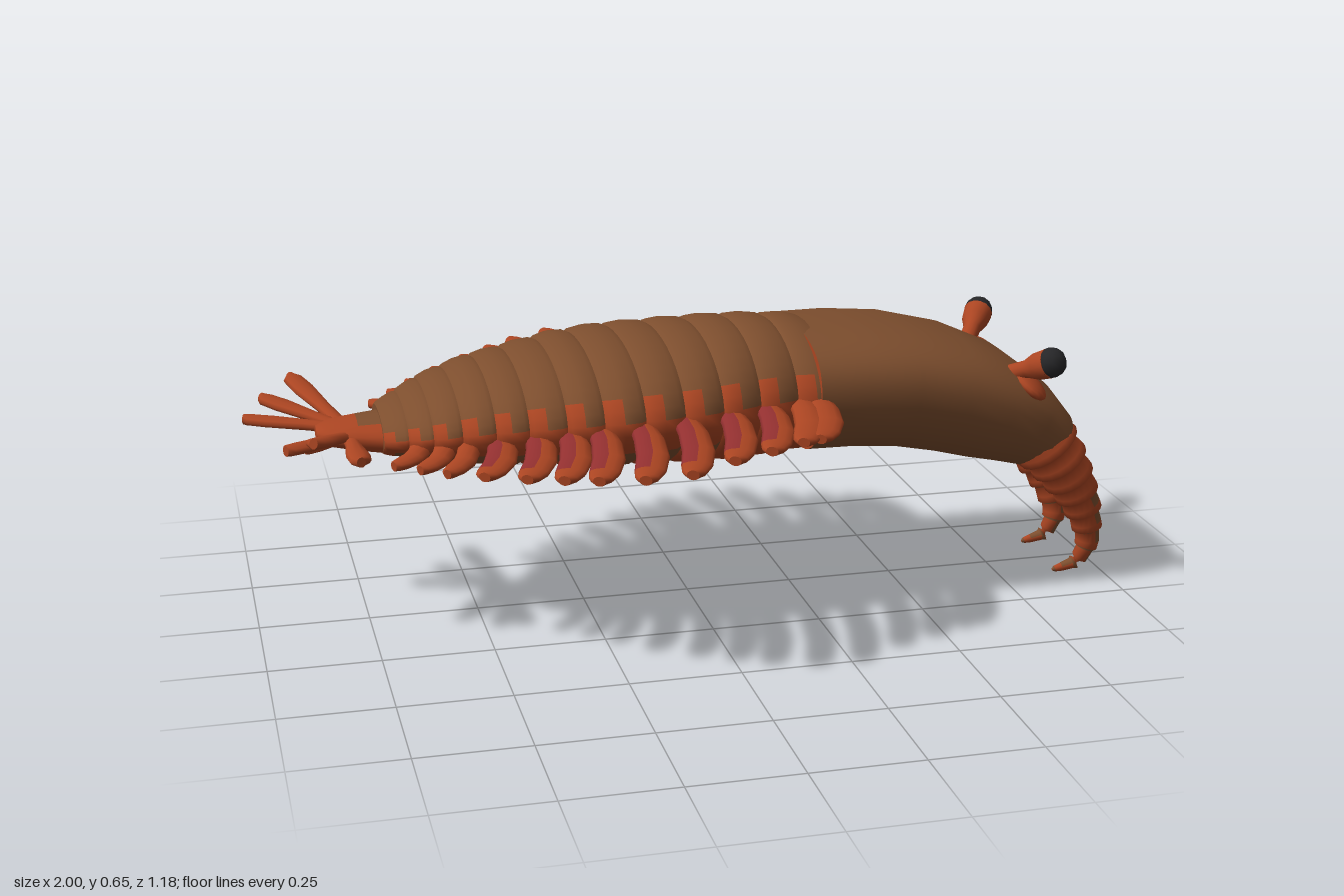
import * as THREE from 'three';

const material = (name, color) => {
  const m = new THREE.MeshStandardMaterial({ color });
  m.name = name;
  return m;
};
const brown = material('shell brown', 0x7d4e2e);
const rust = material('rust orange', 0xab4522);
const crimson = material('gill crimson', 0x933030);
const black = material('eye black', 0x262628);
const V = (x, y, z) => new THREE.Vector3(x, y, z);

// Capped loft through sections { p, hw, hh, f? }; pick(i, t) chooses the material of each strip.
function loft(name, mats, secs, { n = 24, exp = 2, taper = 0, pick = () => 0, up = V(0, 1, 0) } = {}) {
  const pos = [], lists = mats.map(() => []);
  const last = secs.length - 1;
  const pw = (v) => Math.sign(v) * Math.pow(Math.abs(v), 2 / exp);
  secs.forEach((s, i) => {
    const f = s.f ? s.f.clone() : secs[Math.min(i + 1, last)].p.clone().sub(secs[Math.max(i - 1, 0)].p);
    f.normalize();
    const side = f.clone().cross(up).normalize();
    const u = side.clone().cross(f);
    for (let j = 0; j < n; j++) {
      const t = (j / n) * Math.PI * 2, c = pw(Math.cos(t)), h = pw(Math.sin(t));
      const narrow = h < 0 ? 1 + taper * h : 1;
      const q = s.p.clone().addScaledVector(side, c * s.hw * narrow).addScaledVector(u, h * s.hh);
      pos.push(q.x, q.y, q.z);
    }
  });
  for (let i = 0; i < last; i++) {
    for (let j = 0; j < n; j++) {
      const k = (j + 1) % n, a = i * n + j, b = i * n + k, c = a + n, d = b + n;
      lists[pick(i, ((j + 0.5) / n) * Math.PI * 2)].push(a, c, b, b, c, d);
    }
  }
  // End caps with their own vertices keep the rims sharp
  for (const [i, flip] of [[0, false], [last, true]]) {
    const base = pos.length / 3;
    pos.push(...pos.slice(i * n * 3, (i + 1) * n * 3), secs[i].p.x, secs[i].p.y, secs[i].p.z);
    for (let j = 0; j < n; j++) {
      const a = base + j, b = base + ((j + 1) % n);
      lists[0].push(base + n, flip ? b : a, flip ? a : b);
    }
  }
  const g = new THREE.BufferGeometry();
  g.setAttribute('position', new THREE.Float32BufferAttribute(pos, 3));
  g.setIndex(lists.flat());
  let start = 0;
  lists.forEach((l, m) => { g.addGroup(start, l.length, m); start += l.length; });
  g.computeVertexNormals();
  const mesh = new THREE.Mesh(g, mats);
  mesh.name = name;
  return mesh;
}

// Linear lookup in rows [x, a, b, ...] sorted by x
function sample(rows, x) {
  let i = 0;
  while (i < rows.length - 2 && x > rows[i + 1][0]) i++;
  const [a, b] = [rows[i], rows[i + 1]];
  const k = THREE.MathUtils.clamp((x - a[0]) / (b[0] - a[0]), 0, 1);
  return a.slice(1).map((v, m) => THREE.MathUtils.lerp(v, b[m + 1], k));
}

// x, half width, bottom, top of the trunk
const TRUNK = [
  [-0.72, 0.12, 0.41, 0.5], [-0.6, 0.215, 0.395, 0.555], [-0.5, 0.25, 0.38, 0.59], [-0.3, 0.3, 0.362, 0.63],
  [-0.18, 0.315, 0.355, 0.643], [0, 0.295, 0.348, 0.652], [0.1, 0.27, 0.345, 0.657], [0.2, 0.25, 0.35, 0.655], [0.3, 0.25, 0.362, 0.645],
];
// x, height of the flap line
const FLAP_LINE = [[-0.7, 0.45], [-0.45, 0.478], [-0.2, 0.503], [0.28, 0.517]];

export function createModel() {
  const model = new THREE.Group();

  // Overlapping trunk segments with rust flanks and lower rims
  const cuts = [0.29, 0.2, 0.11, 0.02, -0.07, -0.16, -0.25, -0.33, -0.41, -0.48, -0.55, -0.61, -0.66, -0.71];
  const flank = (i, t) => {
    const h = Math.sin(t);
    return (h < 0.25 && h > -0.4) || (i < 2 && h < 0.5 && h > -0.85) ? 1 : 0;
  };
  for (let i = 0; i < cuts.length - 1; i++) {
    const x0 = cuts[i + 1], x1 = cuts[i];
    const secs = [[0, 0.95], [0.1, 1], [0.45, 1.02], [0.85, 1], [1.08, 0.93]].map(([k, g]) => {
      const x = x0 + (x1 - x0) * k;
      const [hw, lo, hi] = sample(TRUNK, x);
      return { p: V(x, (lo + hi) / 2, -0.012), hw: hw * g, hh: ((hi - lo) / 2) * g, f: V(1, 0, 0) };
    });
    model.add(loft('trunkSegment', [brown, rust], secs, { n: 36, exp: 2.1, taper: 0.22, pick: flank }));
  }

  // Smooth head shield bending down to a rust mouth: x, y, half width, half height, pitch
  const head = [
    [0.25, 0.505, 0.245, 0.139, 0], [0.36, 0.505, 0.25, 0.139, 0.03], [0.48, 0.495, 0.247, 0.139, 0.14],
    [0.6, 0.468, 0.242, 0.137, 0.32], [0.7, 0.431, 0.235, 0.13, 0.5], [0.78, 0.39, 0.22, 0.113, 0.67], [0.84, 0.348, 0.195, 0.09, 0.79],
  ].map(([x, y, hw, hh, a]) => ({ p: V(x, y, 0), hw, hh, f: V(Math.cos(a), -Math.sin(a), 0) }));
  model.add(loft('headShield', [rust, brown], head, { n: 40, exp: 3, taper: 0.18, pick: () => 1 }));

  // Swimming flaps, swept back at the tip: root x and reach
  const flaps = [
    [0.25, 0.445], [0.21, 0.455], [0.13, 0.49], [0.04, 0.525], [-0.065, 0.583], [-0.165, 0.585], [-0.255, 0.55],
    [-0.32, 0.51], [-0.39, 0.465], [-0.47, 0.405], [-0.54, 0.345], [-0.59, 0.29], [-0.64, 0.235],
  ];
  for (const s of [1, -1]) {
    flaps.forEach(([x, reach], i) => {
      const [hw] = sample(TRUNK, x), [y] = sample(FLAP_LINE, x);
      const root = hw * 0.8;
      const w = i > 9 ? 0.025 : 0.034;
      const secs = [[0, 0.8], [0.3, 1], [0.6, 1.05], [0.85, 0.98], [0.96, 0.75], [1, 0.4]].map(([k, g]) => ({
        p: V(x - 0.065 * k ** 2.4, y - 0.008 * k, s * (root + (reach - root) * k)),
        hw: w * g, hh: 0.018 * (1 - 0.4 * k),
      }));
      const gill = i > 1 && i < 10;
      model.add(loft('swimmingFlap', [rust, crimson], secs, {
        n: 12, pick: (k, t) => (gill && k < 3 && Math.cos(t) * s > 0.1 ? 1 : 0),
      }));
    });
  }

  // Tail stub and fan of narrow blades
  model.add(loft('tailStub', [rust, brown], [
    [-0.85, 0.462, 0.03, 0.014], [-0.82, 0.46, 0.065, 0.026], [-0.76, 0.457, 0.08, 0.036], [-0.68, 0.455, 0.1, 0.045],
  ].map(([x, y, hw, hh]) => ({ p: V(x, y, 0), hw, hh, f: V(1, 0, 0) })), {
    n: 20, pick: (i, t) => (i === 2 && Math.abs(Math.sin(t)) > 0.8 ? 1 : 0),
  }));
  const blades = [
    [-1.0, 0.465, -0.13], [-0.88, 0.505, -0.31], [-0.955, 0.49, -0.205],
    [-0.925, 0.465, 0.125], [-0.87, 0.5, 0.195], [-0.77, 0.45, 0.195], [-0.88, 0.445, 0.06],
  ];
  for (const [x, y, z] of blades) {
    const a = V(-0.78, 0.458, Math.sign(z) * 0.03), b = V(x, y, z);
    const secs = [[0, 0.016], [0.4, 0.018], [0.75, 0.027], [0.94, 0.024], [1, 0.01]].map(([k, hw]) => ({
      p: a.clone().lerp(b, k), hw, hh: 0.012,
    }));
    model.add(loft('tailBlade', [rust], secs, { n: 10 }));
  }

  // Ringed grasping claws hooked at the tip
  for (const s of [1, -1]) {
    const path = new THREE.CatmullRomCurve3([
      V(0.815, 0.375, s * 0.128), V(0.872, 0.3, s * 0.127), V(0.925, 0.215, s * 0.117), V(0.957, 0.14, s * 0.108),
      V(0.966, 0.08, s * 0.103), V(0.942, 0.032, s * 0.1), V(0.882, 0.013, s * 0.1),
    ]);
    const secs = [], rings = 9;
    for (let i = 0; i < rings; i++) {
      for (const [k, g] of [[0, 0.88], [0.55, 1.02], [0.88, 1.1]]) {
        const t = (i + k) / rings;
        const r = (0.074 * (1 - t) ** 0.9 + 0.005) * g;
        secs.push({ p: path.getPointAt(t), f: path.getTangentAt(t), hw: r, hh: r });
      }
    }
    secs.push({ p: path.getPointAt(1), f: path.getTangentAt(1), hw: 0.003, hh: 0.003 });
    model.add(loft('graspingClaw', [rust, brown], secs, {
      n: 18, up: V(0.75, 0.66, 0),
      pick: (i, t) => (i > 5 && (i % 3 === 2 || (i > 11 && Math.sin(t) > 0.3 && i % 3 === 0)) ? 1 : 0),
    }));
  }

  // Eyes on flaring stalks, with a rust patch at the foot
  for (const s of [1, -1]) {
    const a = V(0.715, 0.515, s * 0.115), b = V(0.795, 0.577, s * 0.235);
    const secs = [[0, 0.026], [0.25, 0.021], [0.55, 0.021], [0.75, 0.032], [0.97, 0.035]].map(([k, r]) => ({
      p: a.clone().lerp(b, k), hw: r, hh: r,
    }));
    model.add(loft('eyeStalk', [rust], secs, { n: 14 }));
    const eye = new THREE.Mesh(new THREE.SphereGeometry(0.035, 10, 7), black);
    eye.name = 'eye';
    eye.position.copy(b);
    model.add(eye);
    const patch = new THREE.Mesh(new THREE.SphereGeometry(1, 18, 10), rust);
    patch.name = 'eyePatch';
    patch.scale.set(0.045, 0.018, 0.055);
    patch.rotation.set(s * 0.3, 0, -0.6);
    patch.position.set(0.772, 0.508, s * 0.168);
    model.add(patch);
  }
  return model;
}
